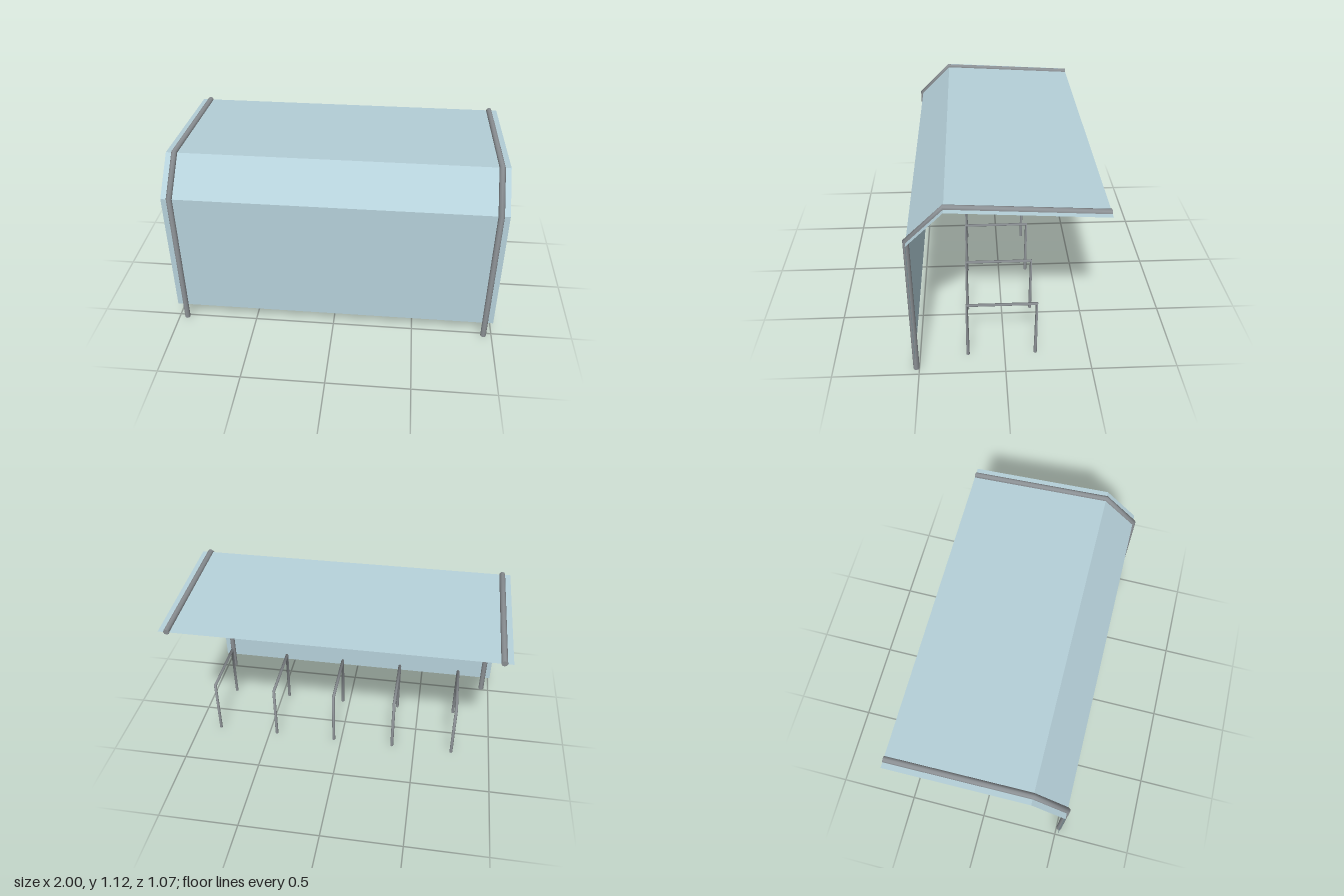
import * as THREE from 'three';

const steel = new THREE.MeshStandardMaterial({ name: 'galvanised steel', color: 0x8b9094 });
const glass = new THREE.MeshStandardMaterial({ name: 'pale blue glazing', color: 0xb5d0d9, side: THREE.DoubleSide });

// Capped round bar swept along a path of [z, y] points, with one ring per point
function bar(path, radius, sides) {
  const pts = path.map(([z, y]) => new THREE.Vector3(0, y, z));
  const across = new THREE.Vector3(1, 0, 0);
  const pos = [], index = [], last = pts.length - 1;
  const rings = pts.map((p, i) => {
    const t = new THREE.Vector3();
    if (i > 0) t.add(p.clone().sub(pts[i - 1]).normalize());
    if (i < last) t.add(pts[i + 1].clone().sub(p).normalize());
    const n = t.normalize().clone().cross(across);
    return Array.from({ length: sides }, (_, j) => {
      const a = (j / sides) * Math.PI * 2;
      return p.clone().addScaledVector(across, radius * Math.cos(a)).addScaledVector(n, radius * Math.sin(a));
    });
  });
  rings.forEach((ring) => ring.forEach((v) => pos.push(v.x, v.y, v.z)));
  for (let i = 0; i < last; i++) {
    for (let j = 0; j < sides; j++) {
      const k = (j + 1) % sides;
      const a = i * sides + j, b = i * sides + k;
      index.push(a, b, b + sides, a, b + sides, a + sides);
    }
  }
  // End caps have their own vertices so the rims stay sharp
  [0, last].forEach((e) => {
    const start = pos.length / 3;
    rings[e].forEach((v) => pos.push(v.x, v.y, v.z));
    for (let j = 1; j < sides - 1; j++) {
      if (e === 0) index.push(start, start + j + 1, start + j);
      else index.push(start, start + j, start + j + 1);
    }
  });
  const g = new THREE.BufferGeometry();
  g.setAttribute('position', new THREE.Float32BufferAttribute(pos, 3));
  g.setIndex(index);
  g.computeVertexNormals();
  return g;
}

// Flat sheet spanning the full width between two [z, y] points
function sheet([z0, y0], [z1, y1]) {
  const g = new THREE.BufferGeometry();
  g.setAttribute('position', new THREE.Float32BufferAttribute(
    [-1, y0, z0, 1, y0, z0, 1, y1, z1, -1, y1, z1], 3));
  g.setIndex([0, 1, 2, 0, 2, 3]);
  g.computeVertexNormals();
  return g;
}

export function createModel() {
  const model = new THREE.Group();
  model.name = 'cycleShelter';
  const add = (name, geometry, material, x = 0) => {
    const mesh = new THREE.Mesh(geometry, material);
    mesh.name = name;
    mesh.position.x = x;
    model.add(mesh);
  };

  const eave = [0.517, 0.905], ridge = [0.317, 1.104], tip = [-0.534, 1.053];

  // Bent end frames
  const frame = bar([[0.517, 0], eave, ridge, tip], 0.018, 8);
  add('leftFrame', frame, steel, 0.95);
  add('rightFrame', frame, steel, -0.95);

  // Glazing: wall, sloped shoulder and roof
  add('wallPanel', sheet([0.517, 0.105], eave), glass);
  add('shoulderPanel', sheet(eave, ridge), glass);
  add('roofPanel', sheet(ridge, tip), glass);

  // Row of hoop stands
  const hoop = bar([[0.217, 0], [0.217, 0.376], [-0.183, 0.376], [-0.183, 0]], 0.01, 8);
  for (let i = 0; i < 5; i++) add('bikeStand' + (i + 1), hoop, steel, -0.75 + i * 0.4);

  return model;
}
